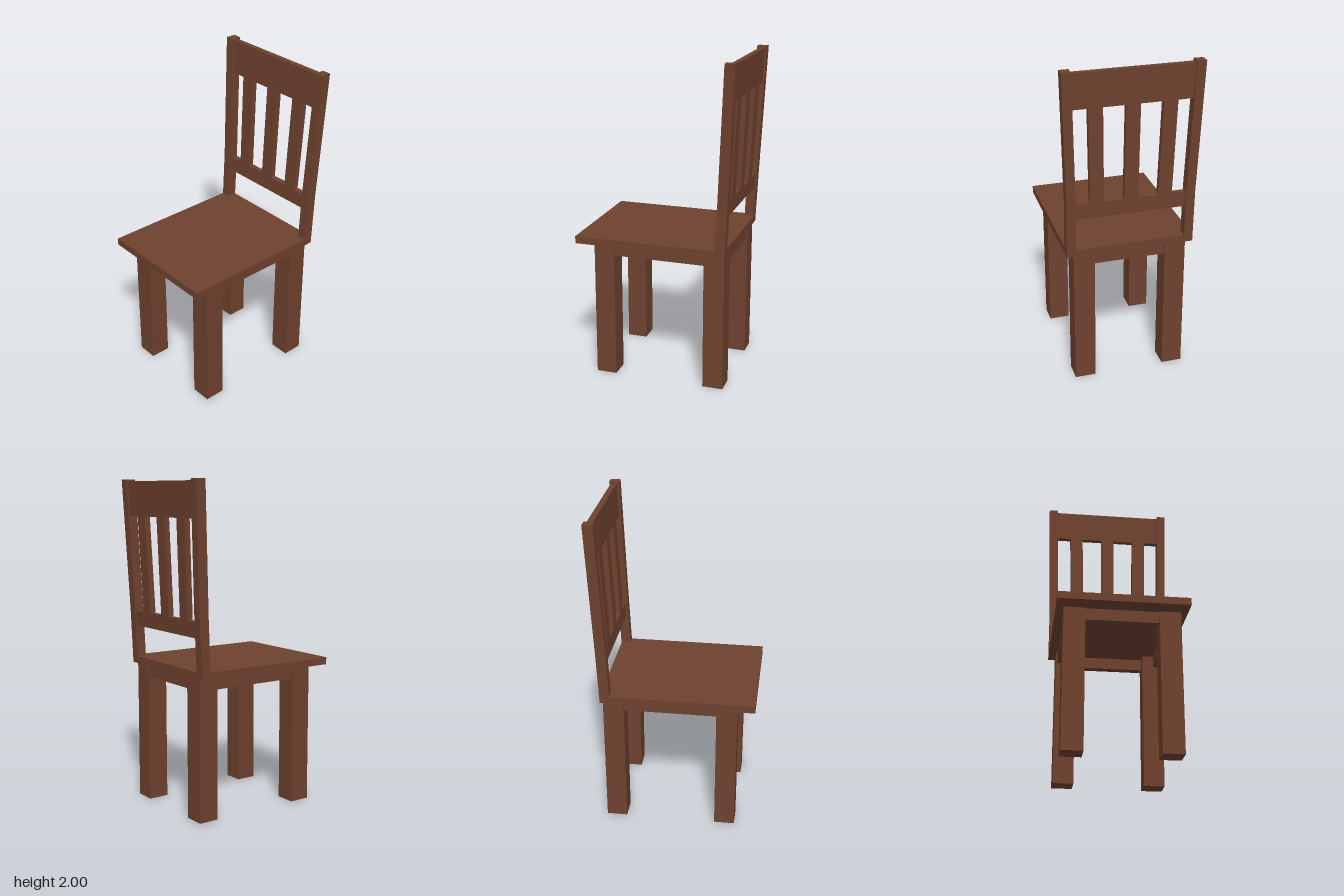
import * as THREE from 'three';

export function createModel() {
  const chair = new THREE.Group();
  chair.name = 'chair';
  const wood = new THREE.MeshStandardMaterial({ color: 0x6e412e });
  wood.name = 'brown wood';

  function add(name, geometry) {
    const mesh = new THREE.Mesh(geometry, wood);
    mesh.name = name;
    chair.add(mesh);
  }

  // Upright block given by its limits
  function block(name, x0, x1, y0, y1, z0, z1) {
    const g = new THREE.BoxGeometry(x1 - x0, y1 - y0, z1 - z0);
    g.translate((x0 + x1) / 2, (y0 + y1) / 2, (z0 + z1) / 2);
    add(name, g);
  }

  // The backrest leans towards +x; x of its front plane at height y
  const lean = (y) => 0.384 + (y - 0.9) * 0.0437;

  // Leaning bar through levels [y, zMin, zMax], set back from the front plane
  function leaningBar(name, levels, setBack, depth) {
    const n = levels.length - 1;
    const box = new THREE.BoxGeometry(1, 1, 1, 1, n, 1);
    const p = box.attributes.position;
    for (let i = 0; i < p.count; i++) {
      const [y, z0, z1] = levels[Math.round((p.getY(i) + 0.5) * n)];
      const x = lean(y) + setBack + (p.getX(i) > 0 ? depth : 0);
      p.setXYZ(i, x, y, p.getZ(i) > 0 ? z1 : z0);
    }
    const g = box.toNonIndexed();
    g.computeVertexNormals();
    add(name, g);
  }

  // Seat
  block('seat', -0.495, 0.442, 0.86, 0.905, -0.388, 0.388);

  // Legs
  for (const [end, x0, x1] of [['front', -0.387, -0.26], ['back', 0.307, 0.434]]) {
    block(end + 'LegLeft', x0, x1, 0, 0.86, 0.218, 0.346);
    block(end + 'LegRight', x0, x1, 0, 0.86, -0.346, -0.218);
  }

  // Aprons between the legs
  block('leftApron', -0.26, 0.307, 0.788, 0.86, 0.286, 0.336);
  block('rightApron', -0.26, 0.307, 0.788, 0.86, -0.336, -0.286);
  block('frontApron', -0.377, -0.327, 0.788, 0.86, -0.218, 0.218);
  block('backApron', 0.374, 0.424, 0.788, 0.86, -0.218, 0.218);

  // Backrest posts, flaring outwards above the lower rail
  const post = [[0.86, 0.334, 0.389], [1.2, 0.334, 0.389], [2, 0.356, 0.412]];
  leaningBar('backPostLeft', post, 0, 0.061);
  leaningBar('backPostRight', post.map(([y, a, b]) => [y, -b, -a]), 0, 0.061);

  // Rails
  leaningBar('lowerRail', [[1.1, -0.336, 0.336], [1.195, -0.336, 0.336]], 0.015, 0.035);
  leaningBar('topRail', [[1.78, -0.352, 0.352], [1.99, -0.358, 0.358]], 0.015, 0.035);

  // Slats, the outer ones fanning out
  leaningBar('middleSlat', [[1.195, -0.042, 0.042], [1.78, -0.042, 0.042]], 0.015, 0.035);
  const slat = [[1.195, 0.164, 0.247], [1.78, 0.175, 0.26]];
  leaningBar('leftSlat', slat, 0.015, 0.035);
  leaningBar('rightSlat', slat.map(([y, a, b]) => [y, -b, -a]), 0.015, 0.035);

  return chair;
}
